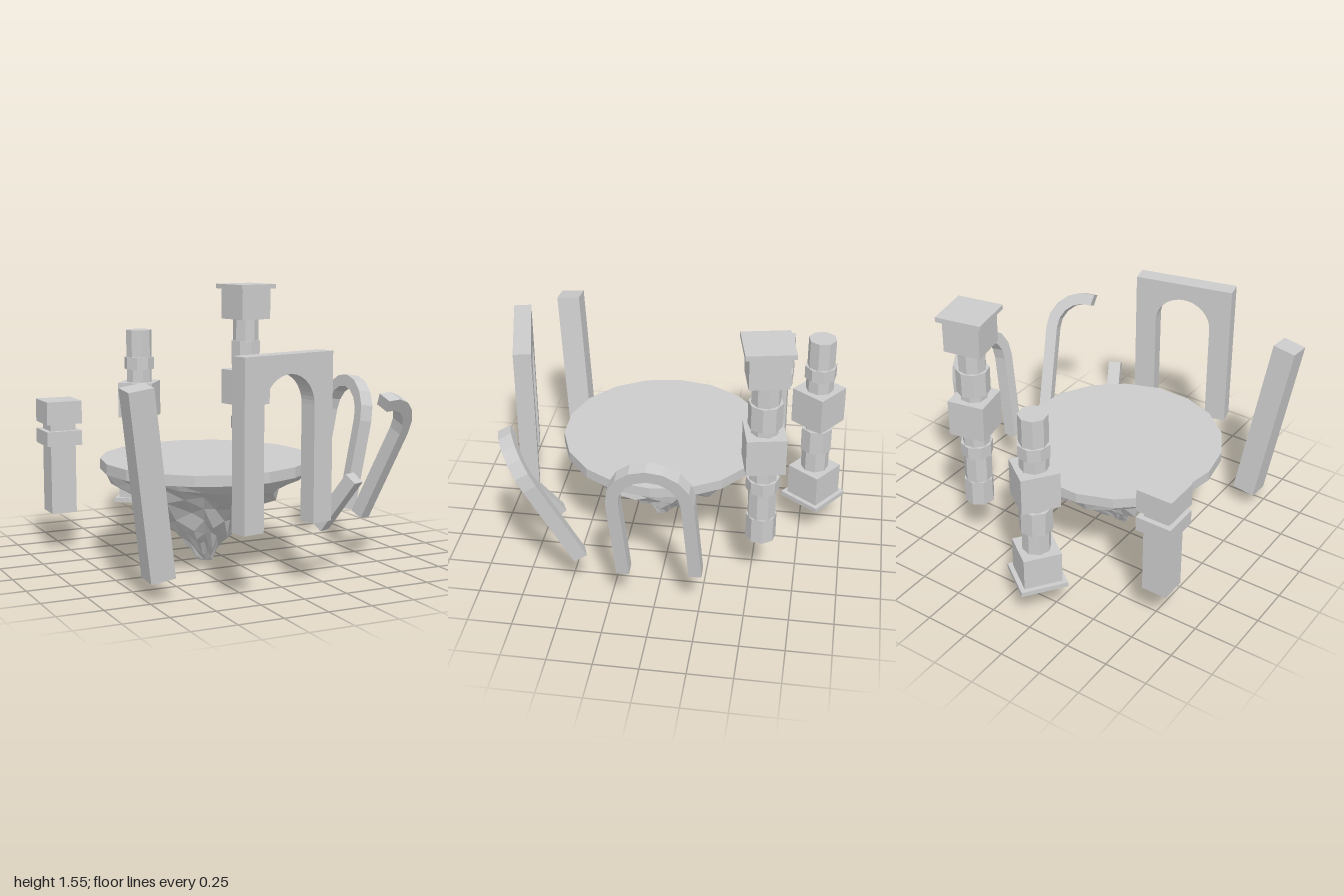
import * as THREE from 'three';

const grey = new THREE.MeshStandardMaterial({ color: 0xcccccc, flatShading: true });

function add(parent, geometry, name, x = 0, y = 0, z = 0) {
  const mesh = new THREE.Mesh(geometry, grey);
  mesh.name = name;
  mesh.position.set(x, y, z);
  parent.add(mesh);
  return mesh;
}

// Points an object's local y along `up`, with local x as close to `side` as possible
function orient(object, up, side) {
  const y = new THREE.Vector3(...up).normalize();
  const x = new THREE.Vector3(...side).normalize();
  x.addScaledVector(y, -x.dot(y)).normalize();
  object.quaternion.setFromRotationMatrix(
    new THREE.Matrix4().makeBasis(x, y, new THREE.Vector3().crossVectors(x, y)));
}

// Repeatable noise in 0..1
function noise(i, j) {
  const s = Math.sin(i * 127.1 + j * 311.7 + 5.3) * 43758.5453;
  return s - Math.floor(s);
}

// Jagged inverted cone of rock
function rockGeometry() {
  const segments = 28;
  const profile = [[0, 0], [0.05, 0.045], [0.1, 0.115], [0.175, 0.19], [0.245, 0.26],
    [0.33, 0.34], [0.41, 0.415], [0.5, 0.48], [0.585, 0.55]]
    .map(([r, y]) => new THREE.Vector2(r, y));
  const geometry = new THREE.LatheGeometry(profile, segments);
  const p = geometry.attributes.position;
  const rows = profile.length;
  for (let i = 0; i <= segments; i++) {
    const k = i % segments;
    const ridge = 0.06 * Math.sin((k / segments) * Math.PI * 10);
    for (let j = 1; j < rows - 1; j++) {
      const n = i * rows + j;
      const scale = 0.87 + 0.27 * noise(k, j) + ridge;
      const lift = (noise(k + 40, j) - 0.5) * 0.07;
      p.setXYZ(n, p.getX(n) * scale, Math.min(p.getY(n) + lift, 0.53), p.getZ(n) * scale);
    }
  }
  geometry.computeVertexNormals();
  return geometry;
}

// Bar bent into an arch; `sweep` under a half turn leaves it broken off
function archBar(legLength, sweep = Math.PI, radius = 0.2, thick = 0.07, depth = 0.078) {
  const steps = Math.round(sweep / (Math.PI / 8));
  const side = (r) => {
    const points = [new THREE.Vector2(-r, -legLength)];
    for (let i = 0; i <= steps; i++) {
      const a = Math.PI - (sweep * i) / steps;
      points.push(new THREE.Vector2(r * Math.cos(a), r * Math.sin(a)));
    }
    if (sweep >= Math.PI) points.push(new THREE.Vector2(r, -legLength));
    return points;
  };
  const outline = [...side(radius + thick / 2), ...side(radius - thick / 2).reverse()];
  const geometry = new THREE.ExtrudeGeometry(new THREE.Shape(outline), { depth, bevelEnabled: false });
  return geometry.translate(0, 0, -depth / 2);
}

// Column measured from its plinth: [height, size, isBlock]
const columnParts = [
  [0.028, 0.265, true], [0.187, 0.215, true],
  [0.133, 0.08], [0.145, 0.094], [0.037, 0.078],
  [0.215, 0.215, true],
  [0.08, 0.08], [0.075, 0.092], [0.168, 0.08], [0.153, 0.085],
];

function column(name, count) {
  const group = new THREE.Group();
  group.name = name;
  let y = 0;
  columnParts.slice(0, count).forEach(([h, size, block], i) => {
    const geometry = block
      ? new THREE.BoxGeometry(size, h, size)
      : new THREE.CylinderGeometry(size, size, h, 8);
    const mesh = add(group, geometry, block ? 'columnBlock' : 'columnDrum', 0, y + h / 2, 0);
    if (!block) mesh.rotation.y = i * 0.35;
    y += h;
  });
  return group;
}

export function createModel() {
  const model = new THREE.Group();
  model.name = 'floatingRuins';

  // Island
  const disc = add(model, new THREE.CylinderGeometry(0.597, 0.597, 0.06, 18), 'islandTop', -0.128, 0.575, 0.063);
  disc.rotation.y = Math.PI / 18;
  add(model, rockGeometry(), 'islandRock', -0.133, 0, 0.064);

  // Columns: one hanging upside down, one upright and shorter
  const hanging = column('hangingColumn', 10);
  hanging.position.set(0.43, 1.547, -0.555);
  hanging.rotation.set(Math.PI, 0.2, 0, 'YXZ');
  const standing = column('standingColumn', 9);
  standing.position.set(-0.178, 0.198, -0.82);
  standing.rotation.y = -0.627;
  model.add(hanging, standing);

  // Square pillar with a stepped head
  const pillar = new THREE.Group();
  pillar.name = 'squarePillar';
  pillar.position.set(-0.797, 0, -0.537);
  model.add(pillar);
  add(pillar, new THREE.BoxGeometry(0.15, 0.56, 0.15), 'pillarShaft', 0, 0.516, 0);
  add(pillar, new THREE.BoxGeometry(0.21, 0.085, 0.21), 'pillarCollar', 0, 0.68, 0);
  add(pillar, new THREE.BoxGeometry(0.21, 0.133, 0.21), 'pillarHead', 0, 0.83, 0);

  // Leaning post
  const post = add(model, new THREE.BoxGeometry(0.137, 1.01, 0.137), 'leaningPost', -0.748, 0.61, 0.72);
  orient(post, [-0.147, 0.997, 0.087], [1, 0, 0]);

  // Gate with a round-headed opening
  const gate = new THREE.Shape();
  gate.moveTo(-0.297, 0.36);
  gate.lineTo(-0.17, 0.36);
  gate.lineTo(-0.17, 0.985);
  gate.absarc(0, 0.985, 0.17, Math.PI, 0, true);
  gate.lineTo(0.17, 0.36);
  gate.lineTo(0.297, 0.36);
  gate.lineTo(0.297, 1.257);
  gate.lineTo(-0.297, 1.257);
  const gateGeometry = new THREE.ExtrudeGeometry(gate, { depth: 0.1, bevelEnabled: false, curveSegments: 12 });
  gateGeometry.translate(0, 0, -0.05);
  add(model, gateGeometry, 'archedGate', -0.063, 0, 0.873).rotation.y = 0.234;

  // Whole slender arch, leaning outward
  const arch = add(model, archBar(0.53), 'leaningArch', 0.825, 0.785, 0);
  arch.rotation.set(0.153, Math.PI / 2, 0.065, 'YXZ');

  // Broken arch and the stump of its other leg
  const broken = add(model, archBar(0.57, 1.83), 'brokenArch', 0.586, 0.787, 0.721);
  orient(broken, [0.172, 0.897, 0.414], [-0.95, 0.035, 0.307]);
  const stump = add(model, new THREE.BoxGeometry(0.075, 0.36, 0.075), 'brokenArchStump', 0.353, 0.422, 0.715);
  orient(stump, [0.095, 0.29, 0.195], [0.9, 0, -0.41]);

  return model;
}
